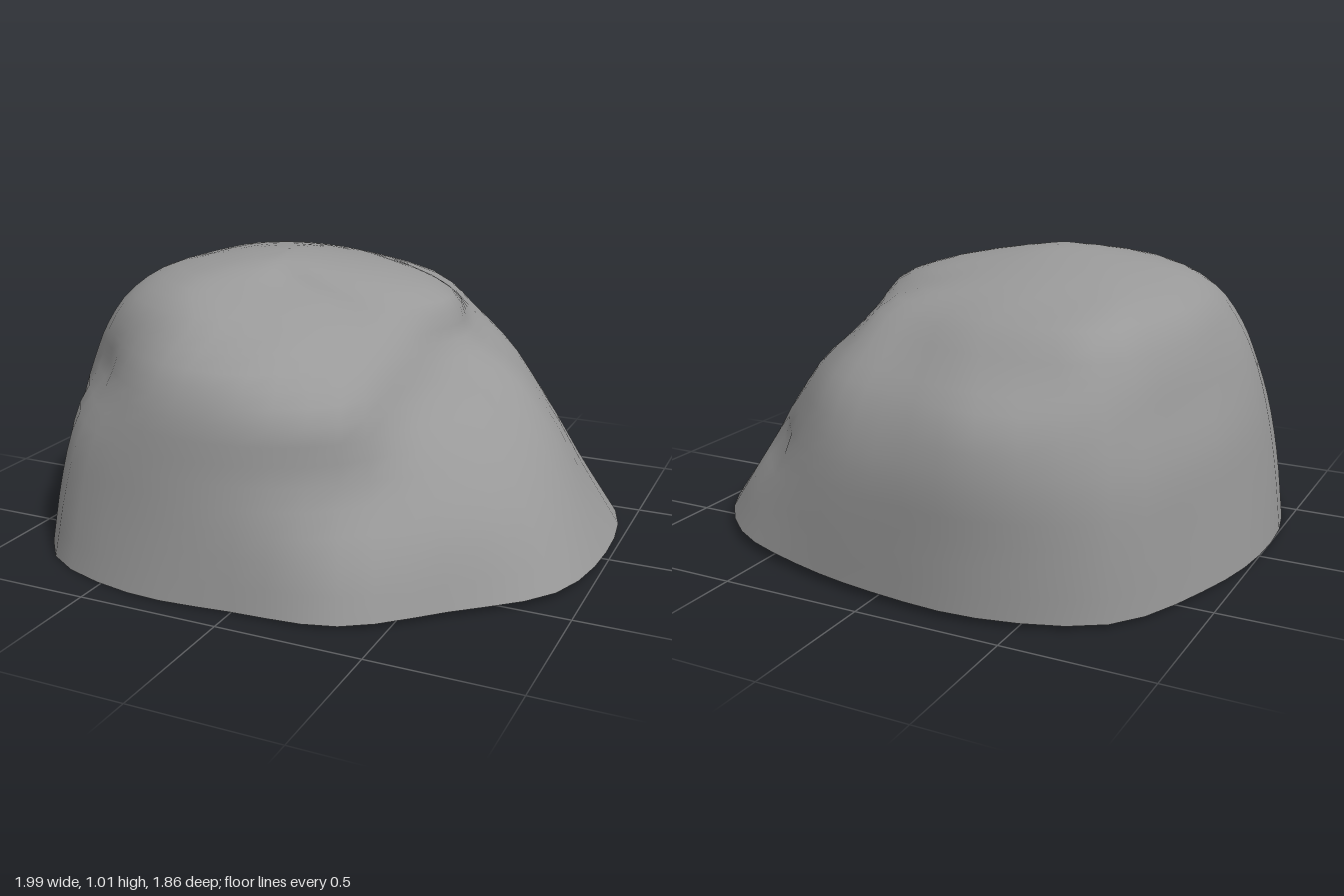
import * as THREE from 'three';

const COLUMNS = 48, ROWS = 22;

// Contours from base to crown: height, centre x, centre z, then radii
// at 16 equal angles running from +x through +z, -x and -z.
const contours = [
  { y: 0.02, x: 0, z: 0, r: [0.99, 0.99, 0.905, 0.935, 0.905, 0.99, 1.09, 1.05, 1.0, 1.0, 1.06, 0.98, 0.9, 0.9, 0.97, 1.01] },
  { y: 0.25, x: 0, z: 0, r: [0.88, 0.87, 0.83, 0.86, 0.88, 0.95, 1.04, 1.02, 0.97, 0.98, 1.06, 0.99, 0.9, 0.87, 0.88, 0.87] },
  { y: 0.45, x: 0, z: 0, r: [0.77, 0.72, 0.69, 0.77, 0.85, 0.92, 0.98, 0.98, 0.94, 0.96, 1.05, 1.0, 0.88, 0.82, 0.77, 0.75] },
  { y: 0.62, x: 0, z: 0, r: [0.63, 0.54, 0.56, 0.74, 0.83, 0.88, 0.88, 0.93, 0.89, 0.91, 1.01, 0.96, 0.8, 0.75, 0.67, 0.62] },
  { y: 0.75, x: 0, z: 0, r: [0.45, 0.44, 0.49, 0.59, 0.75, 0.81, 0.82, 0.87, 0.84, 0.87, 0.96, 0.83, 0.67, 0.63, 0.53, 0.46] },
  { y: 0.87, x: 0, z: 0, r: [0.4, 0.38, 0.37, 0.37, 0.49, 0.68, 0.74, 0.78, 0.77, 0.8, 0.88, 0.67, 0.52, 0.48, 0.39, 0.39] },
  { y: 0.95, x: -0.2, z: 0, r: [0.42, 0.4, 0.34, 0.3, 0.38, 0.47, 0.47, 0.46, 0.42, 0.43, 0.48, 0.45, 0.4, 0.37, 0.36, 0.4] },
  { y: 1.005, x: -0.22, z: 0.06, r: Array(16).fill(0.16) },
];
const apex = new THREE.Vector3(-0.2, 1.02, 0.06);

// Local hollows: angle in degrees, height, angular and vertical reach, depth
const hollows = [
  { angle: 60, y: 0.34, wide: 11, tall: 0.12, depth: 0.04 },
  { angle: 146, y: 0.62, wide: 8, tall: 0.1, depth: 0.04 },
  { angle: 318, y: 0.33, wide: 9, tall: 0.07, depth: 0.04 },
];

// Push a surface point inwards where a hollow lies
function weather(p) {
  const degrees = THREE.MathUtils.radToDeg(Math.atan2(p.z, p.x));
  let push = 0;
  for (const h of hollows) {
    const da = (THREE.MathUtils.euclideanModulo(degrees - h.angle + 180, 360) - 180) / h.wide;
    const dy = (p.y - h.y) / h.tall;
    push += h.depth * Math.exp(-da * da - dy * dy);
  }
  const scale = 1 - push / Math.hypot(p.x, p.z);
  p.x *= scale;
  p.z *= scale;
}

function rockGeometry() {
  // closed curve around each contour, the base rim slightly tilted
  const rings = contours.map((c, level) => new THREE.CatmullRomCurve3(c.r.map((r, i) => {
    const a = (i / c.r.length) * Math.PI * 2;
    const tilt = level === 0 ? -0.015 * Math.cos(a - 2.5) : 0;
    return new THREE.Vector3(c.x + r * Math.cos(a), c.y + tilt, c.z + r * Math.sin(a));
  }), true));

  // columns rising from the rim to the crown
  const positions = [], index = [];
  for (let i = 0; i < COLUMNS; i++) {
    const column = new THREE.CatmullRomCurve3([...rings.map((ring) => ring.getPoint(i / COLUMNS)), apex]);
    for (let k = 0; k < ROWS; k++) {
      const p = column.getPoint(k / ROWS);
      weather(p);
      positions.push(p.x, p.y, p.z);
    }
  }
  positions.push(apex.x, apex.y, apex.z);

  for (let i = 0; i < COLUMNS; i++) {
    const here = i * ROWS, next = ((i + 1) % COLUMNS) * ROWS;
    for (let k = 0; k < ROWS - 1; k++) {
      index.push(here + k, here + k + 1, next + k, next + k, here + k + 1, next + k + 1);
    }
    index.push(here + ROWS - 1, COLUMNS * ROWS, next + ROWS - 1);
  }

  const geometry = new THREE.BufferGeometry();
  geometry.setAttribute('position', new THREE.Float32BufferAttribute(positions, 3));
  geometry.setIndex(index);
  geometry.computeVertexNormals();
  return geometry;
}

export function createModel() {
  const group = new THREE.Group();
  group.name = 'boulder';
  // hollow shell, open underneath
  const material = new THREE.MeshStandardMaterial({ color: 0x999999, side: THREE.DoubleSide });
  const shell = new THREE.Mesh(rockGeometry(), material);
  shell.name = 'rockShell';
  group.add(shell);
  return group;
}
